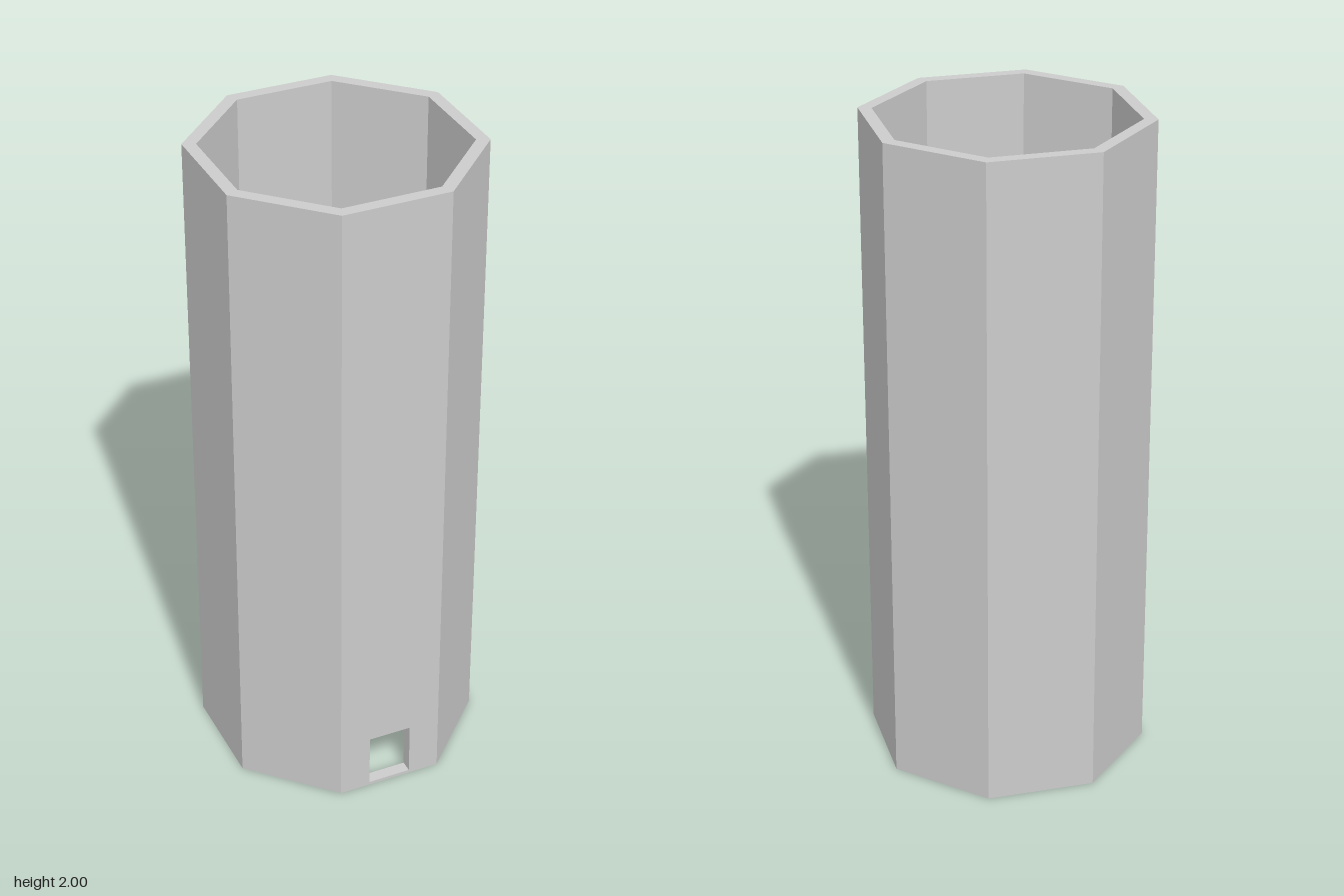
import * as THREE from 'three';

const HEIGHT = 2, OUTER = 0.4255, INNER = 0.385; // corner radii of the octagon
const STEP = Math.PI / 4;
const TWIST = THREE.MathUtils.degToRad(0.8);

// Rectangle outline, anticlockwise
function rectangle(Type, x0, y0, x1, y1) {
  return new Type([[x0, y0], [x1, y0], [x1, y1], [x0, y1]].map(([x, y]) => new THREE.Vector2(x, y)));
}

// Seven of the eight wall sides, inside, outside and rims in one closed profile
function wallGeometry() {
  const profile = [[INNER, 0], [OUTER, 0], [OUTER, HEIGHT], [INNER, HEIGHT], [INNER, 0]]
    .map(([r, y]) => new THREE.Vector2(r, y));
  return new THREE.LatheGeometry(profile, 7, STEP / 2, STEP * 7);
}

// The eighth side, with the doorway cut through and mitred to meet its neighbours
function doorWallGeometry() {
  const outerHalf = OUTER * Math.sin(STEP / 2), innerHalf = INNER * Math.sin(STEP / 2);
  const outerZ = OUTER * Math.cos(STEP / 2), innerZ = INNER * Math.cos(STEP / 2);
  const shape = rectangle(THREE.Shape, -outerHalf, 0, outerHalf, HEIGHT);
  shape.holes.push(rectangle(THREE.Path, -0.067, 0.01, 0.067, 0.18));
  const geometry = new THREE.ExtrudeGeometry(shape, { depth: outerZ - innerZ, bevelEnabled: false });
  geometry.translate(0, 0, innerZ);

  // Pull the inner corners in along the mitre
  const p = geometry.attributes.position;
  for (let i = 0; i < p.count; i++) {
    const x = p.getX(i);
    if (Math.abs(x) > 0.1 && p.getZ(i) < (innerZ + outerZ) / 2) p.setX(i, Math.sign(x) * innerHalf);
  }

  // Leave out the hidden mitre faces
  const kept = [];
  for (let i = 0; i < p.count; i += 3) {
    const xs = [0, 1, 2].map((k) => p.getX(i + k));
    if (xs.every((x) => x > 0.1) || xs.every((x) => x < -0.1)) continue;
    for (let k = 0; k < 3; k++) kept.push(p.getX(i + k), p.getY(i + k), p.getZ(i + k));
  }
  const result = new THREE.BufferGeometry();
  result.setAttribute('position', new THREE.Float32BufferAttribute(kept, 3));
  result.computeVertexNormals();
  return result;
}

export function createModel() {
  const model = new THREE.Group();
  model.name = 'octagonalTower';
  const material = new THREE.MeshStandardMaterial({ color: 0xcccccc, flatShading: true });
  const parts = { towerWall: wallGeometry(), doorWall: doorWallGeometry() };
  for (const [name, geometry] of Object.entries(parts)) {
    const mesh = new THREE.Mesh(geometry, material);
    mesh.name = name;
    mesh.rotation.y = TWIST;
    model.add(mesh);
  }
  return model;
}
